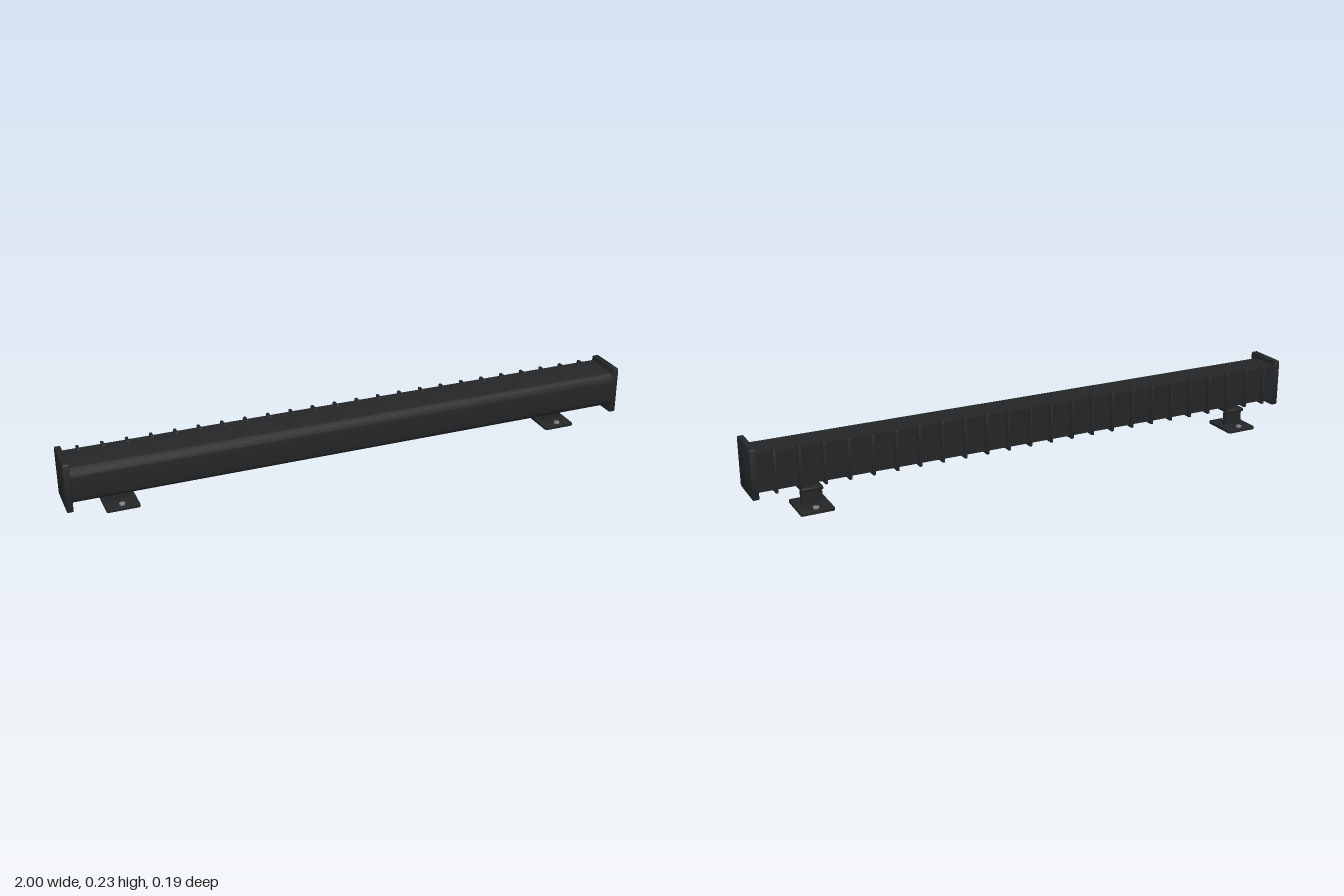
import * as THREE from 'three';
import { toCreasedNormals } from 'three/addons/utils/BufferGeometryUtils.js';

const dark = new THREE.MeshStandardMaterial({ color: 0x242628 });
const steel = new THREE.MeshStandardMaterial({ color: 0x808284 });

// Rounded rectangle from corner (x0, y0) to (x1, y1)
function roundedRect(x0, y0, x1, y1, r) {
  const s = new THREE.Shape();
  s.absarc(x1 - r, y0 + r, r, -Math.PI / 2, 0);
  s.absarc(x1 - r, y1 - r, r, 0, Math.PI / 2);
  s.absarc(x0 + r, y1 - r, r, Math.PI / 2, Math.PI);
  s.absarc(x0 + r, y0 + r, r, Math.PI, Math.PI * 1.5);
  return s;
}

// Extrude with small bevels, centred on its depth; total depth includes the bevels
function slab(shape, depth, bevel = 0) {
  const g = new THREE.ExtrudeGeometry(shape, {
    depth: depth - 2 * bevel, bevelEnabled: bevel > 0, bevelThickness: bevel,
    bevelSize: bevel, bevelOffset: -bevel, bevelSegments: 2, curveSegments: 8,
  });
  g.translate(0, 0, bevel - depth / 2);
  return toCreasedNormals(g, 0.6);
}

// Shape drawn in (z, y), extruded along x
const alongX = (shape, width, bevel) => slab(shape, width, bevel).rotateY(-Math.PI / 2);

function add(parent, name, geometry, x = 0, y = 0, z = 0, material = dark) {
  const m = new THREE.Mesh(geometry, material);
  m.name = name;
  m.position.set(x, y, z);
  parent.add(m);
  return m;
}

// Foot plate with holes and bolts, upright web and saddle plate
function makeBracket(x) {
  const b = new THREE.Group();
  b.name = 'mountingBracket';
  const plate = roundedRect(-0.056, -0.033, 0.056, 0.097, 0.006);
  add(b, 'footPlate', slab(plate, 0.012, 0.002).rotateX(-Math.PI / 2), 0, 0.006, 0);
  add(b, 'web', new THREE.BoxGeometry(0.07, 0.056, 0.013), 0, 0.038, -0.0315);
  add(b, 'saddle', alongX(roundedRect(-0.052, 0.061, 0.02, 0.072, 0.003), 0.07, 0.001));
  add(b, 'saddleStem', new THREE.BoxGeometry(0.03, 0.02, 0.03), 0, 0.08, -0.012);
  for (const z of [0.013, -0.077]) {
    add(b, 'bolt', new THREE.CylinderGeometry(0.01, 0.01, 0.006, 16), 0, 0.0145, z, steel);
  }
  b.position.x = x;
  return b;
}

export function createModel() {
  const root = new THREE.Group();
  root.name = 'linearLight';

  // Housing: flat back, rounded front corners and gently bowed front
  const profile = new THREE.Shape();
  profile.moveTo(-0.046, 0.086);
  profile.lineTo(0.05, 0.086);
  profile.bezierCurveTo(0.075, 0.086, 0.09, 0.09, 0.0955, 0.104);
  profile.quadraticCurveTo(0.1005, 0.148, 0.0955, 0.192);
  profile.bezierCurveTo(0.09, 0.208, 0.075, 0.213, 0.05, 0.213);
  profile.lineTo(-0.046, 0.213);
  profile.closePath();
  add(root, 'housing', alongX(profile, 1.97));

  // End caps
  const cap = roundedRect(-0.049, 0.061, 0.0965, 0.232, 0.008);
  for (const s of [-1, 1]) add(root, 'endCap', alongX(cap, 0.02, 0.002), s * 0.99);

  // Cooling fins along the back
  const fin = alongX(roundedRect(-0.06, 0.078, -0.025, 0.217, 0.003), 0.009, 0.001);
  const count = 24;
  for (let i = 0; i < count; i++) {
    add(root, 'coolingFin', fin, -0.926 + (1.852 * i) / (count - 1));
  }

  // Mounting brackets
  for (const s of [-1, 1]) root.add(makeBracket(s * 0.81));
  return root;
}
